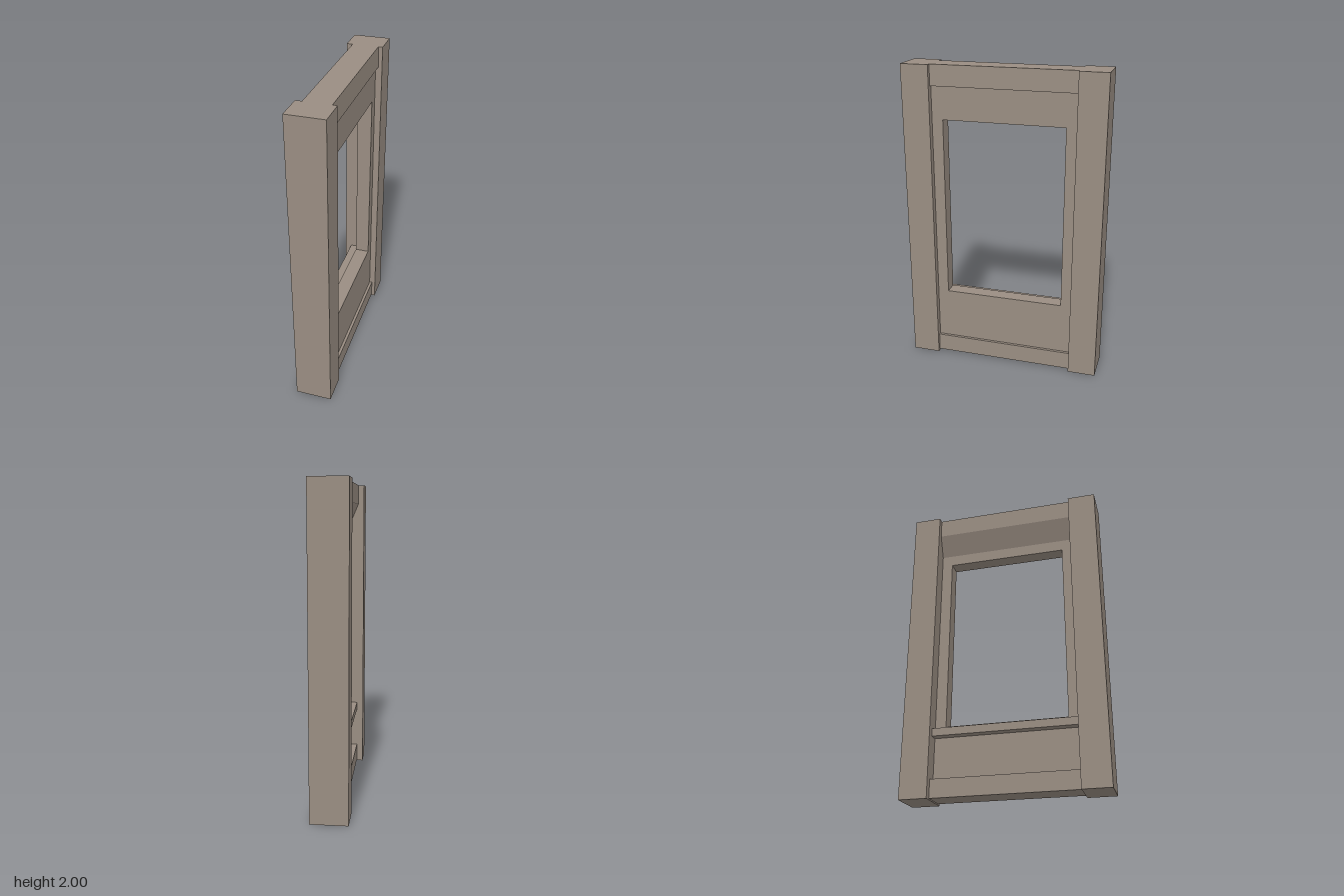
import * as THREE from 'three';

const POST_X = 0.117;          // half depth of the posts
const POST_IN = 0.463, POST_OUT = 0.643;
const FACE_R = 0.075, FACE_L = -0.018; // the two faces of the thin panel
const BASE = 0.008;

export function createModel() {
  const group = new THREE.Group();
  const stone = new THREE.MeshStandardMaterial({ color: 0x998d82 });
  stone.name = 'warm grey';

  const add = (name, geometry) => {
    const mesh = new THREE.Mesh(geometry, stone);
    mesh.name = name;
    group.add(mesh);
    return mesh;
  };
  const box = (name, x0, x1, y0, y1, z0, z1) =>
    add(name, new THREE.BoxGeometry(x1 - x0, y1 - y0, z1 - z0))
      .position.set((x0 + x1) / 2, (y0 + y1) / 2, (z0 + z1) / 2);
  // x-y cross-section run from post to post
  const rail = (name, points) => {
    const shape = new THREE.Shape(points.map(([x, y]) => new THREE.Vector2(x, y)));
    const geometry = new THREE.ExtrudeGeometry(shape, { depth: 2 * POST_IN, bevelEnabled: false });
    geometry.translate(0, 0, -POST_IN);
    add(name, geometry);
  };

  // Posts
  box('frontPost', -POST_X, POST_X, 0, 2, POST_IN, POST_OUT);
  box('backPost', -POST_X, POST_X, 0, 2, -POST_OUT, -POST_IN);

  // Thin panel with the window opening, drawn in z-y and turned to face x
  const panel = new THREE.Shape([
    new THREE.Vector2(-POST_IN, BASE), new THREE.Vector2(POST_IN, BASE),
    new THREE.Vector2(POST_IN, 2), new THREE.Vector2(-POST_IN, 2),
  ]);
  panel.holes.push(new THREE.Path([
    new THREE.Vector2(-0.392, 0.467), new THREE.Vector2(-0.392, 1.657),
    new THREE.Vector2(0.392, 1.657), new THREE.Vector2(0.392, 0.467),
  ]));
  const panelGeometry = new THREE.ExtrudeGeometry(panel, { depth: FACE_R - FACE_L, bevelEnabled: false });
  panelGeometry.rotateY(Math.PI / 2).translate(FACE_L, 0, 0);
  add('windowPanel', panelGeometry);

  // Top trim: plain band on one side, sloping hood on the other
  rail('topBand', [[FACE_R, 1.868], [0.093, 1.868], [0.089, 2], [FACE_R, 2]]);
  rail('slopedHood', [[FACE_L, 2], [-0.078, 2], [-0.078, 1.873], [FACE_L, 1.73]]);

  // Window sill ledge
  box('windowSill', -0.075, FACE_L, 0.395, 0.445, -POST_IN, POST_IN);

  // Skirting along both sides of the foot
  box('rightSkirting', FACE_R, 0.093, BASE, 0.125, -POST_IN, POST_IN);
  box('leftSkirting', -0.075, FACE_L, BASE, 0.125, -POST_IN, POST_IN);

  return group;
}
